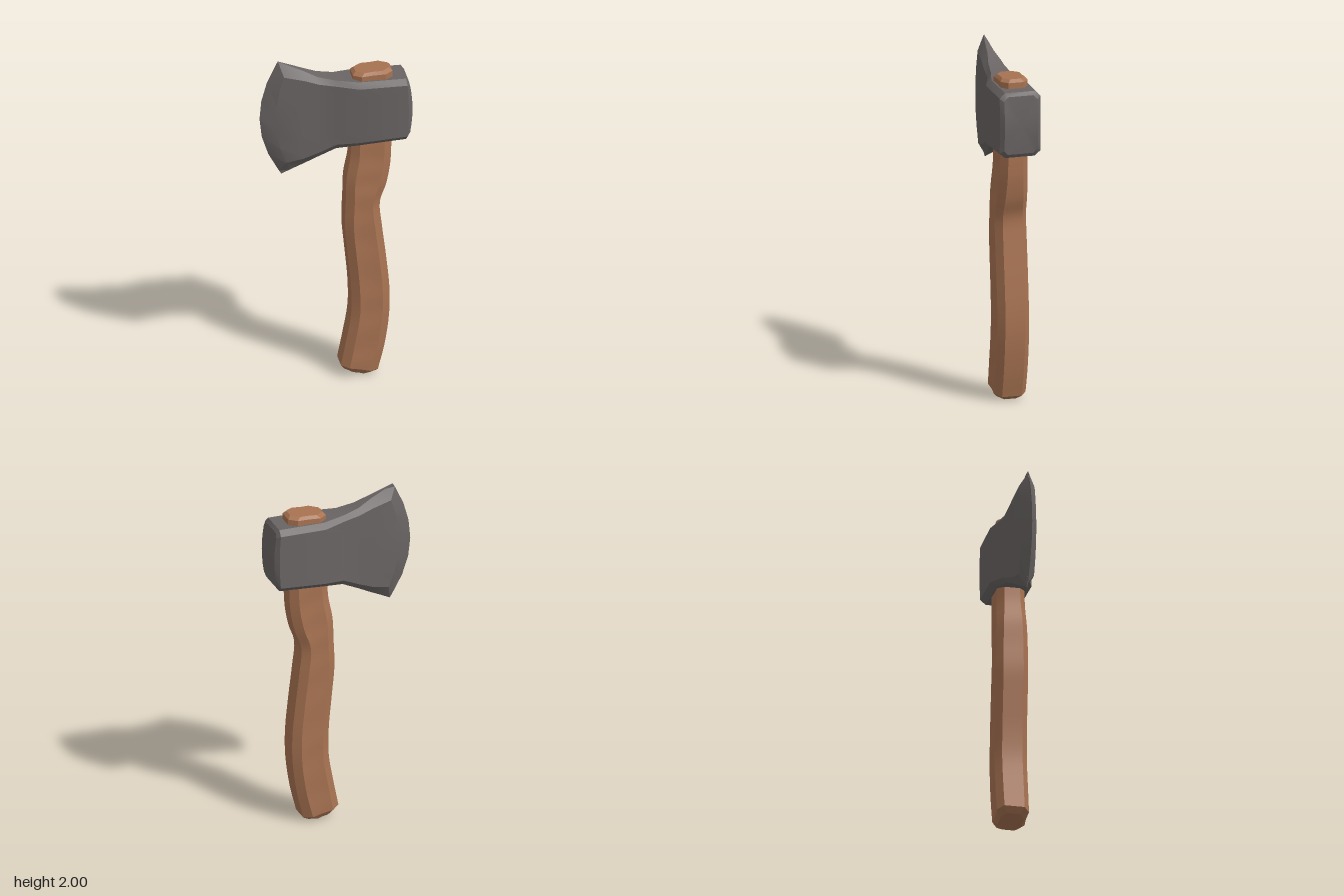
import * as THREE from 'three';
import { toCreasedNormals } from 'three/addons/utils/BufferGeometryUtils.js';

// Skin closed loops of [x, y, z] points and cap both ends
function loft(loops, crease) {
  const n = loops[0].length, last = loops.length - 1;
  const pos = loops.flat(2), index = [];
  const mean = (loop, k) => loop.reduce((s, p) => s + p[k], 0) / n;
  for (const loop of [loops[0], loops[last]]) pos.push(mean(loop, 0), mean(loop, 1), mean(loop, 2));
  const c0 = n * loops.length, c1 = c0 + 1;
  for (let j = 0; j < n; j++) {
    const k = (j + 1) % n;
    for (let i = 0; i < last; i++) {
      const a = i * n + j, b = i * n + k;
      index.push(a, b, b + n, a, b + n, a + n);
    }
    index.push(c0, k, j, c1, last * n + j, last * n + k);
  }
  const g = new THREE.BufferGeometry();
  g.setAttribute('position', new THREE.Float32BufferAttribute(pos, 3));
  g.setIndex(index);
  return toCreasedNormals(g, crease);
}

// Octagonal slice of the shaft between its left and right edge points
function shaftLoop([lx, ly, rx, ry, h], ripple = 0) {
  const w = rx - lx, c = 0.045 / w, e = h - 0.035;
  const m = h - 0.004 + ripple;
  return [[1, e], [1, -e], [1 - c, -h], [0.5, -m], [c, -h],
    [0, -e], [0, e], [c, h], [0.5, m], [1 - c, h]]
    .map(([s, z]) => [lx + w * s, ly + (ry - ly) * s, z]);
}

function handleGeometry() {
  // left x, left y, right x, right y, half depth
  const body = [
    [0.026, 0.075, 0.238, 0.03, 0.093],
    [0.055, 0.22, 0.277, 0.19, 0.094],
    [0.085, 0.40, 0.303, 0.38, 0.094],
    [0.085, 0.56, 0.305, 0.54, 0.093],
    [0.066, 0.77, 0.285, 0.75, 0.093],
    [0.05, 0.95, 0.262, 0.94, 0.093],
    [0.055, 1.11, 0.25, 1.09, 0.092],
    [0.06, 1.25, 0.287, 1.20, 0.088],
    [0.083, 1.38, 0.312, 1.33, 0.082],
    [0.09, 1.50, 0.32, 1.50, 0.079],
  ];
  const left = new THREE.CatmullRomCurve3(body.map(p => new THREE.Vector3(p[0], p[1], p[4])));
  const right = new THREE.CatmullRomCurve3(body.map(p => new THREE.Vector3(p[2], p[3], p[4])));
  const loops = [shaftLoop([0.05, 0.04, 0.20, 0.005, 0.07])];
  const steps = 36;
  for (let i = 0; i <= steps; i++) {
    const l = left.getPoint(i / steps), r = right.getPoint(i / steps);
    loops.push(shaftLoop([l.x, l.y, r.x, r.y, l.z], 0.003 * Math.sin(i * 1.3)));
  }
  // Shaft end passing through the head
  for (const p of [[0.097, 1.87, 0.325, 1.87, 0.08], [0.097, 1.895, 0.325, 1.905, 0.08],
    [0.115, 1.912, 0.307, 1.922, 0.066]]) loops.push(shaftLoop(p));
  return loft(loops, 0.5);
}

function headGeometry() {
  // middle x, top x, bottom x, top y, bottom y, half depth, rim half depth, chamfer
  const sections = [
    [-0.43, -0.325, -0.305, 2.0, 1.29, 0.003, 0.002, 0.02],
    [-0.345, -0.275, -0.255, 1.978, 1.317, 0.045, 0.01, 0.06],
    [-0.2, -0.18, -0.18, 1.937, 1.355, 0.056, 0.022, 0.045],
    [-0.1, -0.1, -0.1, 1.90, 1.40, 0.065, 0.04, 0.035],
    [0, 0, 0, 1.877, 1.45, 0.074, 0.055, 0.03],
    [0.125, 0.125, 0.125, 1.87, 1.472, 0.12, 0.088, 0.03],
    [0.405, 0.395, 0.395, 1.87, 1.488, 0.12, 0.088, 0.03],
    [0.43, 0.412, 0.412, 1.85, 1.51, 0.098, 0.075, 0.025],
  ];
  const rows = 7;
  const loops = sections.map(([xm, xt, xb, yt, yb, z, rim, ch]) => {
    const mid = (yt + yb) / 2, half = (yt - yb) / 2;
    const ys = [yt];
    for (let i = 0; i < rows; i++) ys.push(yt - ch - (yt - yb - 2 * ch) * i / (rows - 1));
    ys.push(yb);
    const side = ys.map((y, i) => {
      const t = (y - mid) / half;
      const x = xm + ((t > 0 ? xt : xb) - xm) * t * t;
      return [x, y, i === 0 || i === ys.length - 1 ? rim : z];
    });
    return [...side, ...side.map(([x, y, d]) => [x, y, -d]).reverse()];
  });
  return loft(loops, 0.42);
}

export function createModel() {
  const wood = new THREE.MeshStandardMaterial({ color: 0xa87352 });
  wood.name = 'wood';
  const steel = new THREE.MeshStandardMaterial({ color: 0x6a6464 });
  steel.name = 'steel';

  const axe = new THREE.Group();
  axe.name = 'axe';
  const handle = new THREE.Mesh(handleGeometry(), wood);
  handle.name = 'handle';
  const head = new THREE.Mesh(headGeometry(), steel);
  head.name = 'axeHead';
  axe.add(handle, head);
  return axe;
}
